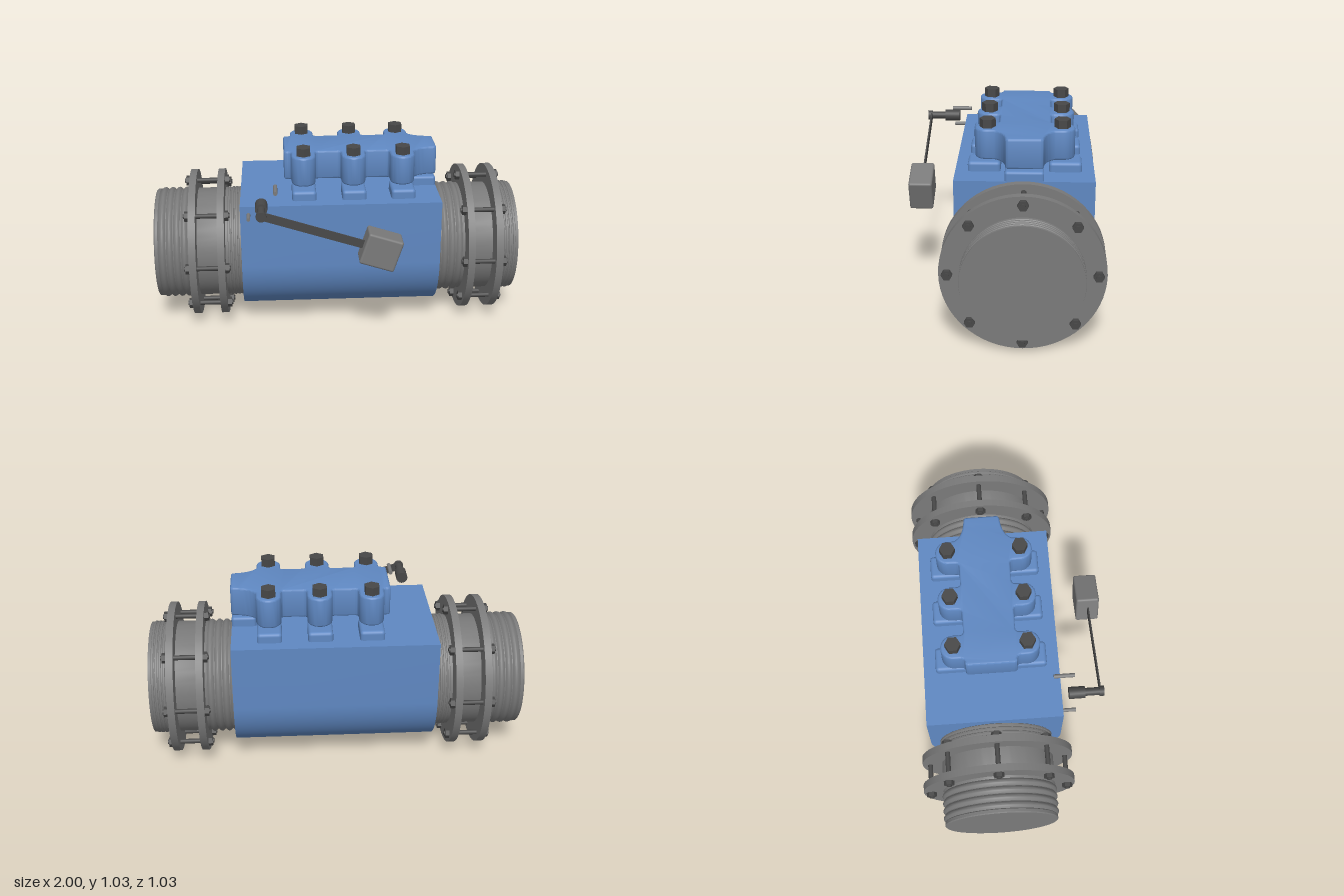
import * as THREE from 'three';
import { toCreasedNormals } from 'three/addons/utils/BufferGeometryUtils.js';
import { RoundedBoxGeometry } from 'three/addons/geometries/RoundedBoxGeometry.js';

const AXIS_Y = 0.415, AXIS_Z = -0.105;

function material(name, color) {
  const m = new THREE.MeshStandardMaterial({ color });
  m.name = name;
  return m;
}

export function createModel() {
  const blue = material('blue paint', 0x5f88c2);
  const steel = material('grey steel', 0x7a7a7a);
  const dark = material('dark steel', 0x484848);
  const model = new THREE.Group();
  model.name = 'checkValve';

  function add(parent, name, geometry, mat, x = 0, y = 0, z = 0) {
    const mesh = new THREE.Mesh(geometry, mat);
    mesh.name = name;
    mesh.position.set(x, y, z);
    parent.add(mesh);
    return mesh;
  }

  // cylinder running along x, y or z between two coordinates
  function rod(r, from, to, axis, sides = 20) {
    let g = new THREE.CylinderGeometry(r, r, to - from, sides);
    if (sides === 6) g = toCreasedNormals(g, 0.5);
    g.translate(0, (from + to) / 2, 0);
    if (axis === 'x') g.rotateZ(-Math.PI / 2);
    if (axis === 'z') g.rotateX(Math.PI / 2);
    return g;
  }

  // valve body: flat top, straight sides, round belly
  const section = new THREE.Shape();
  section.moveTo(-0.36, 0.765);
  section.lineTo(-0.36, AXIS_Y);
  section.absellipse(0, AXIS_Y, 0.36, 0.35, Math.PI, Math.PI * 2, false);
  section.lineTo(0.36, 0.765);
  section.closePath();
  const bodyGeo = new THREE.ExtrudeGeometry(section, { depth: 1.08, bevelEnabled: false, curveSegments: 48 });
  bodyGeo.rotateY(Math.PI / 2);
  add(model, 'body', toCreasedNormals(bodyGeo, 0.5), blue, -0.525, 0, AXIS_Z);

  // ribbed pipe profile, from the outer end to the inner end
  const profile = [[0, -0.29], [0.3, -0.29], [0.305, -0.285], [0.305, -0.27]];
  for (let i = 0; i < 4; i++) {
    const x = -0.265 + i * 0.04;
    for (let k = 0; k <= 6; k++) {
      const t = k / 6;
      profile.push([0.3 + 0.012 * Math.sin(Math.PI * t), x + 0.036 * t]);
    }
  }
  profile.push([0.305, -0.1], [0.305, 0.1]);
  for (let i = 0; i < 4; i++) {
    const x = 0.11 + i * 0.02;
    profile.push([0.305, x], [0.309, x + 0.003], [0.309, x + 0.012], [0.305, x + 0.015]);
  }
  profile.push([0.305, 0.2], [0, 0.2]);
  const pipeGeo = toCreasedNormals(
    new THREE.LatheGeometry(profile.map(([r, h]) => new THREE.Vector2(r, h)), 64), 0.6);
  pipeGeo.rotateZ(-Math.PI / 2);

  // couplings at both ends: pipe, flange pair, eight tie bolts
  for (const [name, x] of [['rightCoupling', -0.71], ['leftCoupling', 0.8]]) {
    const coupling = new THREE.Group();
    coupling.name = name;
    coupling.position.set(x, AXIS_Y, AXIS_Z);
    model.add(coupling);
    add(coupling, 'pipe', pipeGeo, steel);
    for (const side of [-1, 1]) {
      add(coupling, 'flange', rod(0.412, -0.019, 0.019, 'x', 64), steel, side * 0.077);
    }
    for (let i = 0; i < 8; i++) {
      const a = i * Math.PI / 4;
      const bolt = new THREE.Group();
      bolt.name = 'tieBolt';
      bolt.position.set(0, 0.37 * Math.cos(a), 0.37 * Math.sin(a));
      coupling.add(bolt);
      add(bolt, 'rod', rod(0.013, -0.125, 0.125, 'x', 16), dark);
      add(bolt, 'outerNut', rod(0.028, -0.118, -0.094, 'x', 6), dark);
      add(bolt, 'innerNut', rod(0.028, 0.094, 0.118, 'x', 6), dark);
    }
  }

  // cover outline: half of it is drawn, then mirrored
  const boltX = [-0.18, 0.09, 0.355];
  const boltOffset = 0.193, lobe = 0.065, strip = 0.135, fillet = 0.022;
  const half = new THREE.Path();
  half.moveTo(0.555, 0.08);
  half.quadraticCurveTo(0.555, 0.095, 0.535, 0.097);
  half.quadraticCurveTo(0.445, 0.105, 0.355 + lobe, strip + fillet);
  for (const x of [...boltX].reverse()) {
    if (x !== 0.355) {
      half.lineTo(x + lobe + fillet, strip);
      half.quadraticCurveTo(x + lobe, strip, x + lobe, strip + fillet);
    }
    half.absarc(x, boltOffset, lobe, 0, Math.PI, false);
    half.lineTo(x - lobe, strip + fillet);
    half.quadraticCurveTo(x - lobe, strip, x - lobe - fillet, strip);
  }
  half.lineTo(-0.27, strip);
  half.quadraticCurveTo(-0.285, strip, -0.285, strip - 0.02);
  const upper = half.getPoints(10);
  const lower = upper.map(p => new THREE.Vector2(p.x, -p.y)).reverse();
  const coverGeo = new THREE.ExtrudeGeometry(new THREE.Shape([...upper, ...lower]), {
    depth: 0.14, bevelThickness: 0.01, bevelSize: 0.01, bevelOffset: -0.01, bevelSegments: 3,
  });
  coverGeo.rotateX(-Math.PI / 2);
  add(model, 'cover', toCreasedNormals(coverGeo, 0.7), blue, 0, 0.84, AXIS_Z);

  // cover studs with hex heads, standing on raised pads
  for (const x of boltX) {
    for (const side of [-1, 1]) {
      const z = AXIS_Z + side * boltOffset;
      add(model, 'coverStud', rod(0.02, 0.76, 0.99, 'y'), dark, x, 0, z);
      add(model, 'coverBoltHead', rod(0.042, 0.988, 1.035, 'y', 6), dark, x, 0, z);
      add(model, 'coverPad', new RoundedBoxGeometry(0.13, 0.09, 0.17, 3, 0.018), blue,
        x, 0.771, AXIS_Z + side * 0.21);
    }
  }
  add(model, 'endPad', new RoundedBoxGeometry(0.13, 0.09, 0.2, 3, 0.015), blue, 0.49, 0.771, AXIS_Z);

  // lever shaft
  const shaft = new THREE.Group();
  shaft.name = 'leverShaft';
  shaft.position.set(-0.41, 0.795, 0);
  model.add(shaft);
  add(shaft, 'sleeve', rod(0.032, 0.29, 0.375, 'z', 24), dark);
  add(shaft, 'spindle', rod(0.021, 0.375, 0.455, 'z', 24), dark);
  add(shaft, 'endCap', rod(0.027, 0.452, 0.476, 'z', 24), dark);

  // lever bar and counterweight, sloping down to the left
  const lever = new THREE.Group();
  lever.name = 'lever';
  lever.position.set(-0.41, 0.795, 0);
  lever.rotation.z = -0.315;
  model.add(lever);
  add(lever, 'bar', new THREE.BoxGeometry(0.62, 0.045, 0.008), dark, 0.3, 0, 0.456);
  add(lever, 'counterweight', new RoundedBoxGeometry(0.19, 0.175, 0.126, 3, 0.012), steel, 0.648, 0, 0.453);

  // stop pins
  add(model, 'upperPin', rod(0.011, 0.215, 0.325, 'z'), steel, -0.335, 0.863, 0);
  add(model, 'lowerPin', rod(0.01, 0.22, 0.325, 'z'), steel, -0.48, 0.72, 0);

  return model;
}
